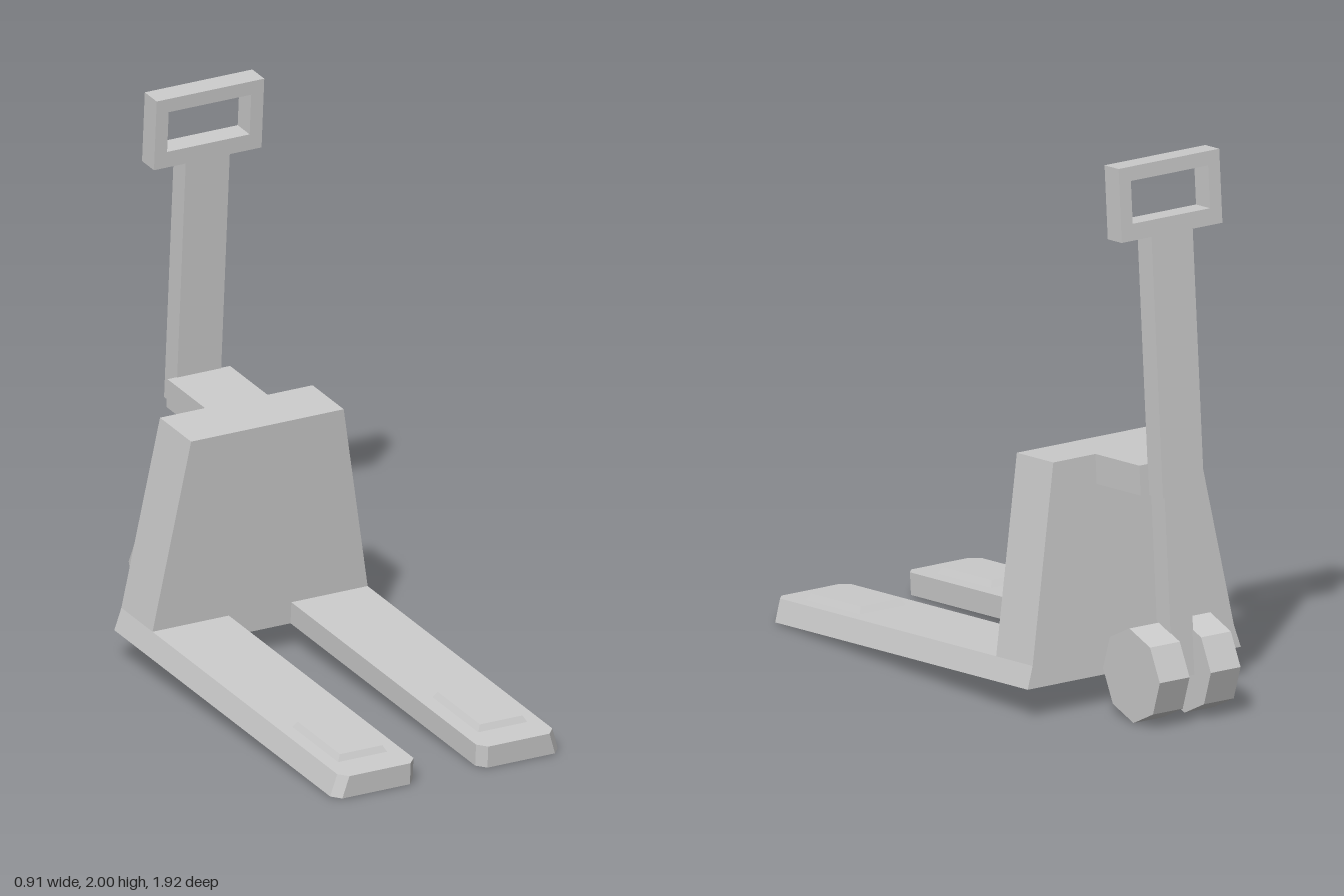
import * as THREE from 'three';

const TILT = 0.0724; // the whole truck leans, fork tips down

function makeMesh(name, geometry) {
  const material = new THREE.MeshStandardMaterial({ color: 0xcccccc, flatShading: true });
  const mesh = new THREE.Mesh(geometry, material);
  mesh.name = name;
  return mesh;
}

// Box between two corners; the top face is pulled in by insetX and insetZ on each side
function taperedBox(x0, x1, y0, y1, z0, z1, insetX = 0, insetZ = 0) {
  const geometry = new THREE.BoxGeometry(x1 - x0, y1 - y0, z1 - z0);
  const p = geometry.attributes.position;
  for (let i = 0; i < p.count; i++) {
    if (p.getY(i) > 0) {
      p.setX(i, p.getX(i) - Math.sign(p.getX(i)) * insetX);
      p.setZ(i, p.getZ(i) - Math.sign(p.getZ(i)) * insetZ);
    }
  }
  geometry.translate((x0 + x1) / 2, (y0 + y1) / 2, (z0 + z1) / 2);
  geometry.computeVertexNormals();
  return geometry;
}

// U-shaped base: two forks with clipped tips joined at the back, outer sides sloping in
function forkGeometry(y0, y1) {
  const half = [
    [0.125, -0.362], [0.125, 0.918], [0.155, 0.951],
    [0.425, 0.951], [0.455, 0.918], [0.455, -0.578],
  ];
  const mirrored = half.map(([x, z]) => [-x, z]).reverse();
  const outline = [...half, ...mirrored].map(([x, z]) => new THREE.Vector2(x, -z));
  const geometry = new THREE.ExtrudeGeometry(new THREE.Shape(outline), {
    depth: y1 - y0, bevelEnabled: false,
  });
  geometry.rotateX(-Math.PI / 2).translate(0, y0, 0);
  const p = geometry.attributes.position;
  for (let i = 0; i < p.count; i++) {
    const x = p.getX(i);
    if (p.getY(i) > (y0 + y1) / 2 && Math.abs(x) > 0.4) p.setX(i, x - Math.sign(x) * 0.025);
  }
  geometry.computeVertexNormals();
  return geometry;
}

// Handle column and grip loop cut from one flat plate
function handleGeometry() {
  const outline = [
    [-0.088, 0.746], [0.088, 0.746], [0.088, 1.675], [0.215, 1.675],
    [0.215, 1.938], [-0.215, 1.938], [-0.215, 1.675], [-0.088, 1.675],
  ];
  const opening = [[-0.165, 1.735], [-0.165, 1.887], [0.165, 1.887], [0.165, 1.735]];
  const toPoints = (list) => list.map(([x, y]) => new THREE.Vector2(x, y));
  const shape = new THREE.Shape(toPoints(outline));
  shape.holes.push(new THREE.Path(toPoints(opening)));
  const geometry = new THREE.ExtrudeGeometry(shape, { depth: 0.083, bevelEnabled: false });
  return geometry.translate(0, 0, -0.918);
}

export function createModel() {
  const model = new THREE.Group();
  model.name = 'palletJack';
  const truck = new THREE.Group();
  truck.name = 'tiltedTruck';
  truck.rotation.x = TILT;
  model.add(truck);

  // Forks and tapering body
  truck.add(makeMesh('forks', forkGeometry(0.0735, 0.154)));
  truck.add(makeMesh('body', taperedBox(-0.43, 0.43, 0.154, 0.856, -0.578, -0.362, 0.125)));

  // Bracket, handle and the strut down to the wheels
  truck.add(makeMesh('bracket', taperedBox(-0.125, 0.125, 0.75, 0.856, -0.838, -0.578)));
  truck.add(makeMesh('handle', handleGeometry()));
  truck.add(makeMesh('strut', taperedBox(-0.048, 0.048, 0.09, 0.76, -0.872, -0.793)));

  // Mirrored fork pads and eight-sided steering wheels
  for (const [side, label] of [[1, 'left'], [-1, 'right']]) {
    const pad = taperedBox(-0.1, 0.1, 0.15, 0.176, 0.515, 0.837, 0.015, 0.015);
    truck.add(makeMesh(`${label}ForkPad`, pad.translate(side * 0.28, 0, 0)));

    const wheel = new THREE.CylinderGeometry(0.168, 0.168, 0.127, 8).rotateZ(Math.PI / 2);
    truck.add(makeMesh(`${label}Wheel`, wheel.translate(side * 0.109, 0.112, -0.803)));
  }
  return model;
}
